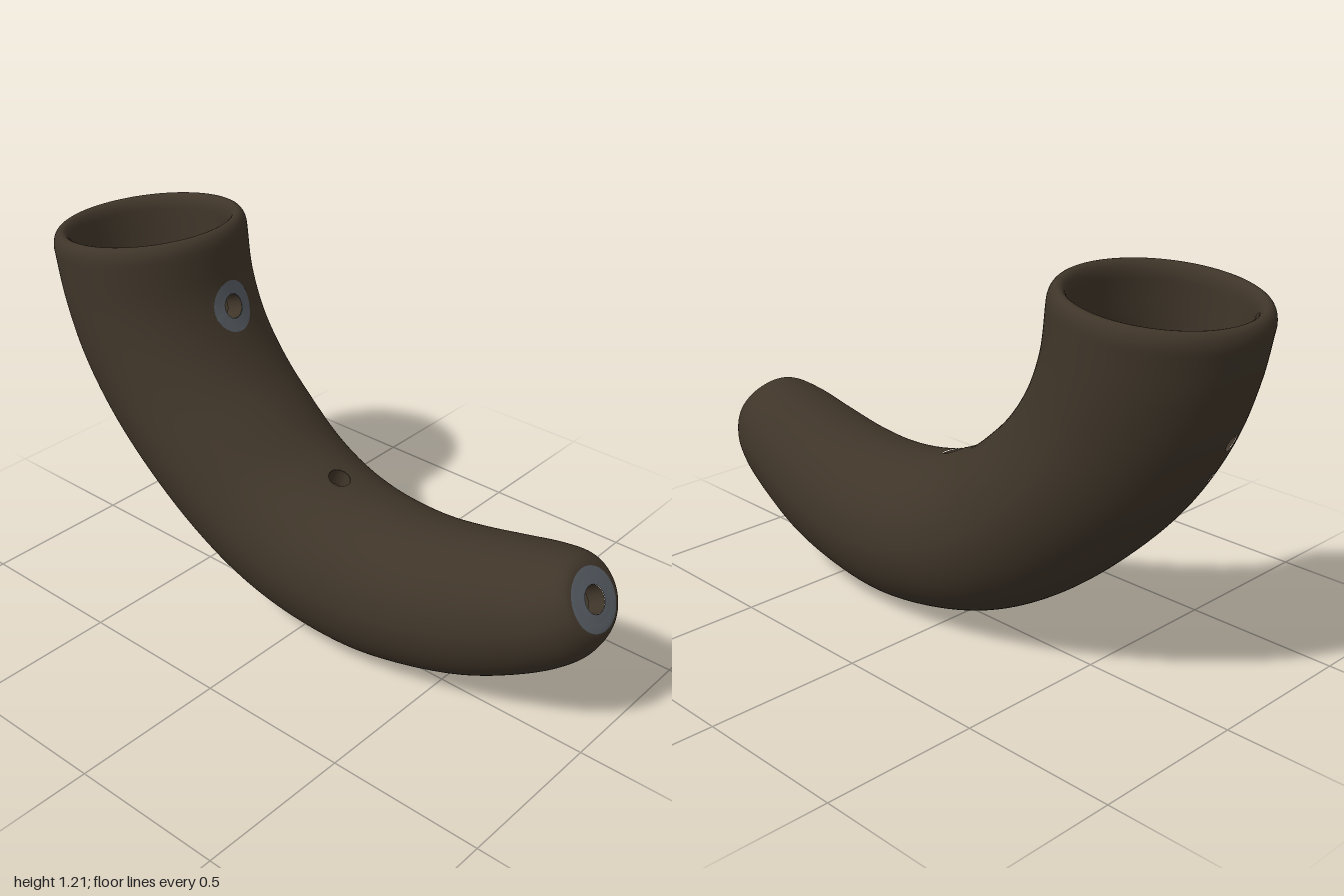
import * as THREE from 'three';

// Cross-sections from mouth to tip: outer bend x,y | inner bend x,y | centre z, half depth
const SECTIONS = [
  [-0.998, 1.10, -0.408, 1.165, 0, 0.308],
  [-0.965, 0.95, -0.39, 1.02, 0, 0.306],
  [-0.90, 0.77, -0.34, 0.89, 0, 0.303],
  [-0.78, 0.57, -0.26, 0.77, -0.005, 0.30],
  [-0.60, 0.375, -0.16, 0.67, -0.01, 0.295],
  [-0.40, 0.21, -0.06, 0.59, -0.015, 0.285],
  [-0.20, 0.095, 0.04, 0.54, -0.02, 0.275],
  [0.00, 0.03, 0.14, 0.508, -0.028, 0.266],
  [0.22, 0.0, 0.25, 0.492, -0.04, 0.253],
  [0.40, 0.018, 0.37, 0.49, -0.05, 0.24],
  [0.60, 0.07, 0.50, 0.508, -0.06, 0.224],
  [0.75, 0.14, 0.64, 0.54, -0.065, 0.205],
  [0.895, 0.235, 0.77, 0.57, -0.068, 0.183],
  [0.965, 0.305, 0.855, 0.582, -0.07, 0.15],
  [1.0, 0.39, 0.89, 0.572, -0.068, 0.11],
  [0.985, 0.43, 0.92, 0.535, -0.066, 0.06],
  [0.955, 0.483, 0.955, 0.483, -0.065, 0],
];
// Drilled holes: approximate place, radius, radius of the grey ring (0 = none)
const HOLES = [
  { at: [-0.385, 0.97, -0.03], r: 0.038, ring: 0.08 },
  { at: [0.955, 0.483, -0.065], r: 0.042, ring: 0.095 },
  { at: [0.06, 0.53, -0.025], r: 0.035, ring: 0 },
  { at: [0.66, 0.095, -0.035], r: 0.045, ring: 0 },
  { at: [0.53, 0.05, -0.05], r: 0.02, ring: 0 },
  { at: [-0.91, 0.80, 0.06], r: 0.026, ring: 0 },
  { at: [-0.85, 0.69, 0.06], r: 0.02, ring: 0 },
];
const AROUND = 128, OUTER_ROWS = 200, RIM_ROWS = 14, INNER_ROWS = 110, CAP_ROWS = 10;
const WALL = 0.055, CAVITY_END = 12.7 / (SECTIONS.length - 1);

const outerBend = new THREE.CatmullRomCurve3(SECTIONS.map(s => new THREE.Vector3(s[0], s[1], s[4])));
const innerBend = new THREE.CatmullRomCurve3(SECTIONS.map(s => new THREE.Vector3(s[2], s[3], s[5])));

// One ring of points at t, inset by a wall offset, lifted at the rim, scaled for end caps
function ring(t, inset = 0, lift = 0, scale = 1) {
  const o = outerBend.getPoint(t), n = innerBend.getPoint(t);
  const ux = (n.x - o.x) / 2, uy = (n.y - o.y) / 2;
  const k = scale * (1 - inset / Math.max(Math.hypot(ux, uy), 1e-6));
  const h = scale * (n.z - inset);
  const points = [];
  for (let j = 0; j < AROUND; j++) {
    const a = j / AROUND * Math.PI * 2;
    points.push(new THREE.Vector3(
      (o.x + n.x) / 2 + ux * k * Math.cos(a) - 0.1 * lift,
      (o.y + n.y) / 2 + uy * k * Math.cos(a) + lift,
      o.z + h * Math.sin(a)));
  }
  return points;
}

function indexedGeometry(points, triangles) {
  const g = new THREE.BufferGeometry().setFromPoints(points);
  g.setIndex(triangles.flat());
  g.computeVertexNormals();
  return g;
}

// Pull points just inside a circle onto its edge; return the test for triangles inside it
function imprint(points, triangles, hole, radius, low, count) {
  const inside = new Set();
  const offset = new THREE.Vector3();
  for (let i = 0; i < count; i++) {
    offset.subVectors(points[i], hole.centre);
    const along = offset.dot(hole.normal);
    if (along < low || along > 0.03) continue;
    if (offset.addScaledVector(hole.normal, -along).length() < radius) inside.add(i);
  }
  const isInside = tri => tri.every(i => inside.has(i));
  const edge = new Set();
  for (const tri of triangles) if (!isInside(tri)) tri.forEach(i => inside.has(i) && edge.add(i));
  for (const i of edge) {
    offset.subVectors(points[i], hole.centre);
    offset.addScaledVector(hole.normal, -offset.dot(hole.normal));
    const d = offset.length();
    if (d > 1e-5) points[i].addScaledVector(offset, radius / d - 1);
  }
  return isInside;
}

export function createModel() {
  const group = new THREE.Group();
  group.name = 'curvedHorn';
  const brown = new THREE.MeshStandardMaterial({ color: 0x3f3529 });
  brown.name = 'darkBrown';
  const grey = new THREE.MeshStandardMaterial({ color: 0x565c63 });
  grey.name = 'slateGrey';
  const boreBrown = brown.clone();
  boreBrown.side = THREE.DoubleSide;

  // Outside from tip to mouth, over the rounded rim, then down the cavity to its end
  const rows = [];
  for (let i = 0; i <= OUTER_ROWS; i++) rows.push(ring(1 - i / OUTER_ROWS));
  const outerCount = rows.length * AROUND;
  for (let i = 1; i <= RIM_ROWS; i++) {
    const a = i / RIM_ROWS * Math.PI;
    rows.push(ring(0, WALL / 2 * (1 - Math.cos(a)), 0.048 * Math.sin(a)));
  }
  for (let i = 1; i <= INNER_ROWS; i++) rows.push(ring(CAVITY_END * i / INNER_ROWS, WALL));
  for (let i = 1; i <= CAP_ROWS; i++) rows.push(ring(CAVITY_END, WALL, 0, 1 - i / CAP_ROWS));

  const points = rows.flat();
  let triangles = [];
  for (let i = 0; i < rows.length - 1; i++) {
    for (let j = 0; j < AROUND; j++) {
      const a = i * AROUND + j, c = i * AROUND + (j + 1) % AROUND;
      const b = a + AROUND, d = c + AROUND;
      triangles.push([a, b, c], [b, d, c]);
    }
  }

  // Seat each hole on the outer surface
  const normals = indexedGeometry(points, triangles).attributes.normal;
  const holes = HOLES.map(h => {
    const centre = new THREE.Vector3(...h.at);
    let best = 0;
    for (let i = AROUND; i < outerCount; i++) {
      if (points[i].distanceToSquared(centre) < points[best].distanceToSquared(centre)) best = i;
    }
    const normal = new THREE.Vector3().fromBufferAttribute(normals, best).normalize();
    if (h.at[0] > 0.9) normal.set(0.83, 0.55, 0).normalize();
    centre.addScaledVector(normal, points[best].clone().sub(centre).dot(normal));
    return { ...h, centre, normal };
  });

  // Cut the holes and mark the grey rings around two of them
  const ringTests = [];
  for (const hole of holes) {
    const cut = imprint(points, triangles, hole, hole.r, -0.14, points.length);
    triangles = triangles.filter(tri => !cut(tri));
    if (hole.ring) ringTests.push(imprint(points, triangles, hole, hole.ring, -0.1, outerCount));
  }

  // Horn body and grey rings share one smooth surface
  const surface = indexedGeometry(points, triangles);
  const isGrey = tri => ringTests.some(test => test(tri));
  const addSurface = (name, material, list) => {
    const g = new THREE.BufferGeometry();
    g.setAttribute('position', surface.attributes.position);
    g.setAttribute('normal', surface.attributes.normal);
    g.setIndex(list.flat());
    const mesh = new THREE.Mesh(g, material);
    mesh.name = name;
    group.add(mesh);
  };
  addSurface('hornBody', brown, triangles.filter(tri => !isGrey(tri)));
  addSurface('holeRings', grey, triangles.filter(isGrey));

  // Bore walls through the shell
  for (const hole of holes) {
    const depth = 0.06;
    const bore = new THREE.Mesh(new THREE.CylinderGeometry(hole.r, hole.r, depth, 28, 1, true), boreBrown);
    bore.name = 'holeBore';
    bore.quaternion.setFromUnitVectors(new THREE.Vector3(0, 1, 0), hole.normal);
    bore.position.copy(hole.centre).addScaledVector(hole.normal, -depth / 2 - 0.002);
    group.add(bore);
  }
  return group;
}
